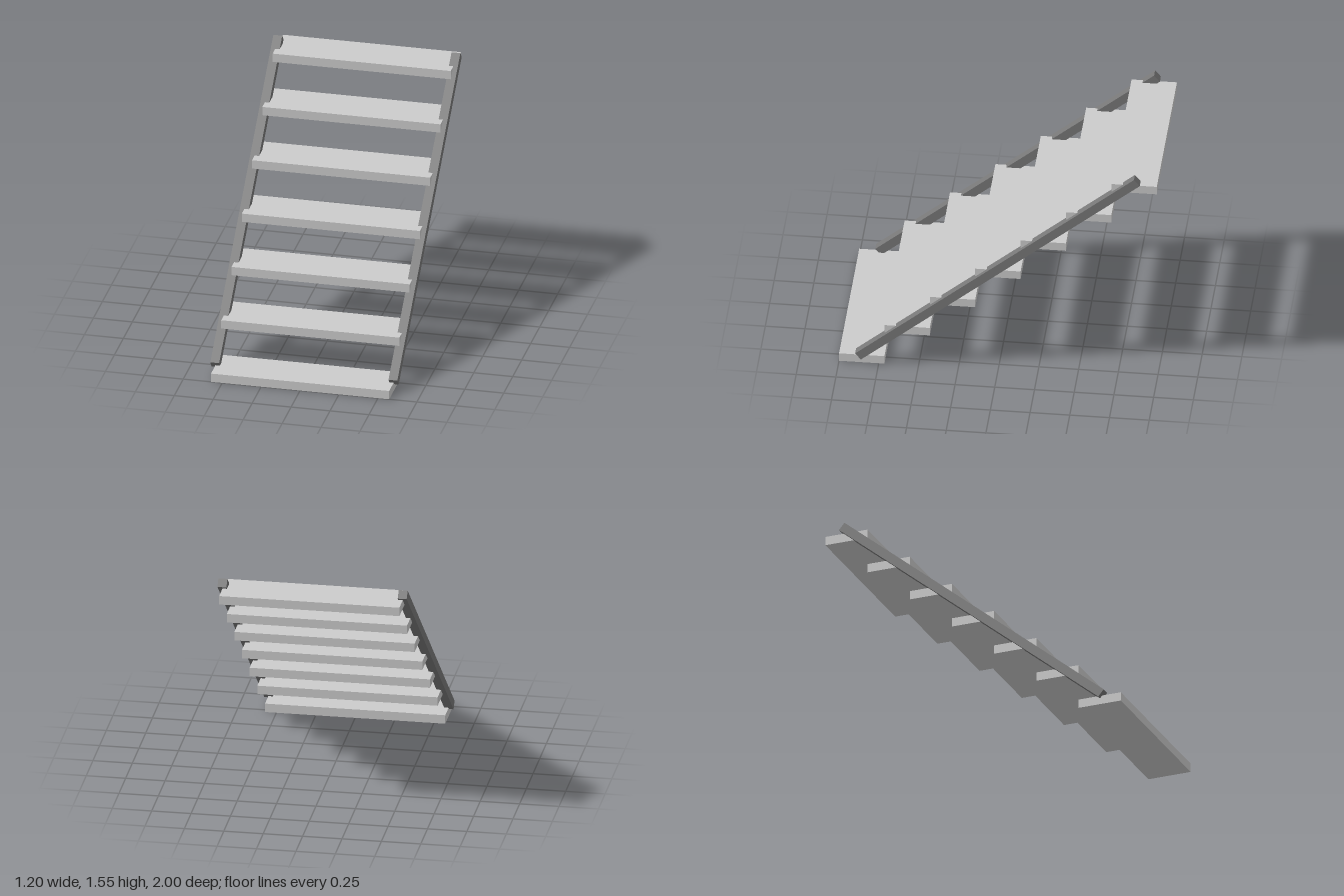
import * as THREE from 'three';

export function createModel() {
  const model = new THREE.Group();
  const treadMaterial = new THREE.MeshStandardMaterial({ color: 0xcccccc });
  const railMaterial = new THREE.MeshStandardMaterial({ color: 0x777777 });

  const steps = 7, thickness = 0.057, depth = 2 / steps, rise = 0.238;

  // Treads climb from the front to the back, edge over edge
  const treadGeometry = new THREE.BoxGeometry(1.144, thickness, depth);
  for (let i = 0; i < steps; i++) {
    const tread = new THREE.Mesh(treadGeometry, treadMaterial);
    tread.name = `tread${i + 1}`;
    tread.position.set(0, thickness / 2 + i * rise, 1 - depth * (i + 0.5));
    model.add(tread);
  }

  // Sloping square rails carry the tread ends on both sides
  const railGeometry = new THREE.BoxGeometry(thickness, thickness, 2.284);
  for (const side of [1, -1]) {
    const rail = new THREE.Mesh(railGeometry, railMaterial);
    rail.name = side > 0 ? 'leftRail' : 'rightRail';
    rail.position.set(side * 0.572, 0.793, 0);
    rail.rotation.x = Math.atan2(rise, depth);
    model.add(rail);
  }
  return model;
}
